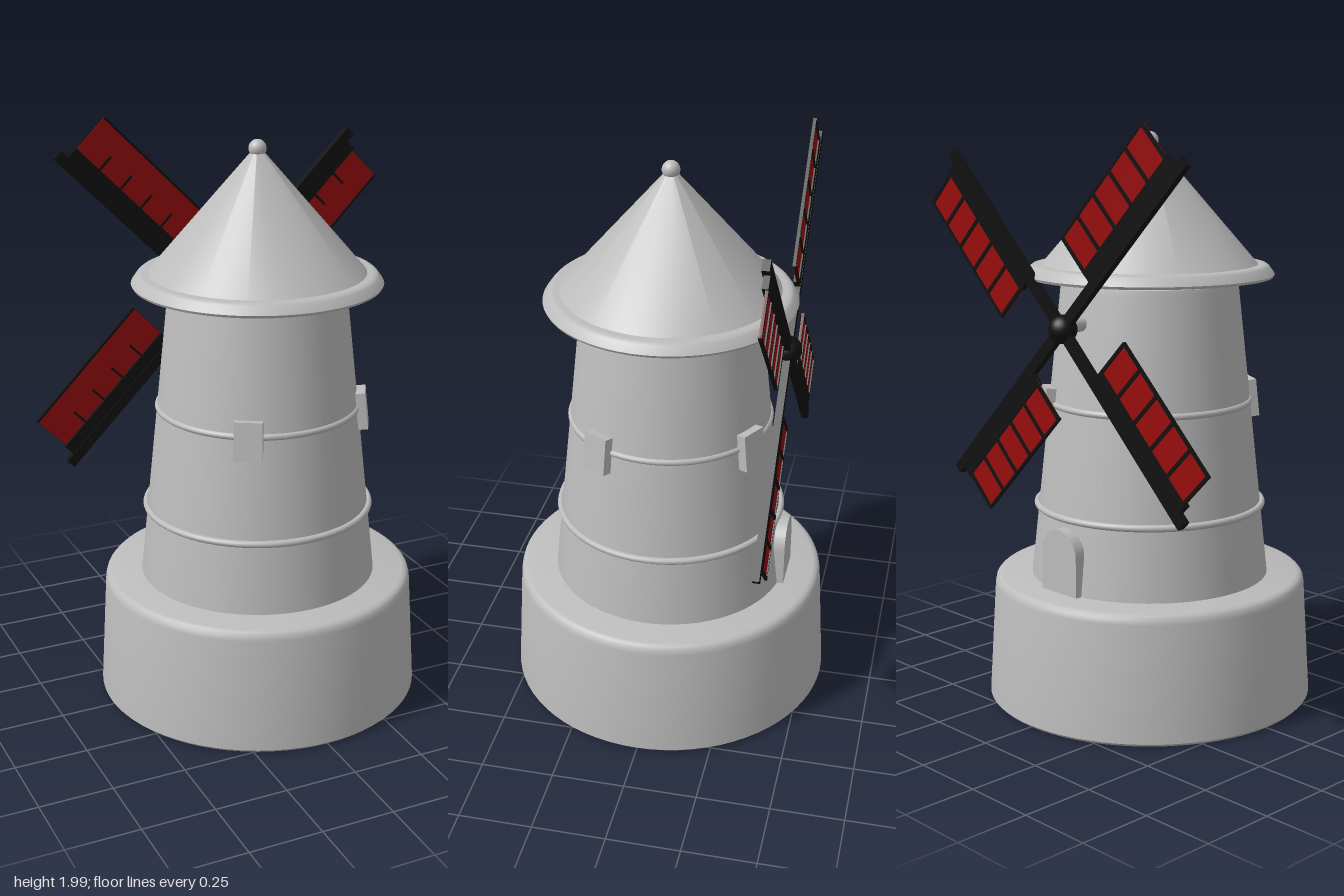
import * as THREE from 'three';
import { toCreasedNormals } from 'three/addons/utils/BufferGeometryUtils.js';

const stone = new THREE.MeshStandardMaterial({ color: 0xbcbcbc });
stone.name = 'stoneGrey';
const timber = new THREE.MeshStandardMaterial({ color: 0x111111 });
timber.name = 'blackTimber';
const cloth = new THREE.MeshStandardMaterial({ color: 0x960c0c });
cloth.name = 'redCloth';

function add(parent, name, geometry, material, x = 0, y = 0, z = 0) {
  const mesh = new THREE.Mesh(geometry, material);
  mesh.name = name;
  mesh.position.set(x, y, z);
  parent.add(mesh);
  return mesh;
}

// Round body from a bottom-to-top profile of [radius, height]
function turned(points) {
  const profile = points.map(([r, y]) => new THREE.Vector2(r, y));
  return toCreasedNormals(new THREE.LatheGeometry(profile, 72), 0.6);
}

// Box given by its extents along, across and through the blade
function slab(parent, name, material, x0, x1, y0, y1, z0, z1) {
  return add(parent, name, new THREE.BoxGeometry(x1 - x0, y1 - y0, z1 - z0), material,
    (x0 + x1) / 2, (y0 + y1) / 2, (z0 + z1) / 2);
}

// One blade, pointing along +x with the cloth on the -y side
function makeBlade() {
  const blade = new THREE.Group();
  blade.name = 'blade';
  slab(blade, 'arm', timber, 0, 0.785, -0.018, 0.018, -0.015, 0.01);
  slab(blade, 'leadingBoard', timber, 0.217, 0.75, -0.06, 0.012, -0.014, 0.006);
  slab(blade, 'sailCloth', cloth, 0.217, 0.742, -0.2, -0.04, -0.009, -0.004);
  slab(blade, 'outerRail', timber, 0.217, 0.742, -0.205, -0.197, -0.013, -0.002);
  // Cross bars: full width behind the cloth, shorter ones in front
  for (let i = 0; i <= 5; i++) {
    const x = 0.222 + i * 0.103;
    slab(blade, 'crossBar', timber, x - 0.006, x + 0.006, -0.203, -0.04, -0.014, -0.008);
    if (i > 0 && i < 5) {
      slab(blade, 'frontBar', timber, x - 0.004, x + 0.004, -0.12, -0.05, -0.006, 0);
    }
  }
  return blade;
}

export function createModel() {
  const model = new THREE.Group();
  model.name = 'windmill';

  // Broad base with a softened upper edge
  add(model, 'base', turned([
    [0, 0.005], [0.555, 0.005], [0.565, 0.015], [0.541, 0.41], [0.537, 0.428],
    [0.528, 0.438], [0.515, 0.442], [0, 0.442],
  ]), stone);

  // Tapered tower
  add(model, 'tower', turned([
    [0, 0.43], [0.413, 0.43], [0.304, 1.44], [0.3, 1.458], [0.285, 1.466], [0, 1.466],
  ]), stone);
  add(model, 'neck', new THREE.CylinderGeometry(0.28, 0.28, 0.03, 48), stone, 0, 1.47, 0);

  // Rings round the tower
  for (const [radius, y] of [[0.39, 0.69], [0.342, 1.05]]) {
    const ring = add(model, 'towerRing', new THREE.TorusGeometry(radius, 0.012, 10, 72), stone, 0, y, 0);
    ring.rotation.x = Math.PI / 2;
  }

  // Conical roof with brim and knob
  add(model, 'roofBrim', turned([
    [0, 1.475], [0.42, 1.475], [0.425, 1.484], [0.407, 1.51], [0.398, 1.517], [0.385, 1.518], [0, 1.518],
  ]), stone);
  add(model, 'roofCone', turned([[0.37, 1.515], [0.012, 1.93], [0, 1.93]]), stone);
  add(model, 'roofKnob', new THREE.SphereGeometry(0.03, 24, 16), stone, 0, 1.93, 0);

  // Windows leaning with the wall
  for (const degrees of [-30, 60, 150]) {
    const holder = new THREE.Group();
    holder.name = 'window';
    holder.rotation.y = THREE.MathUtils.degToRad(degrees);
    const pane = add(holder, 'windowBlock', new THREE.BoxGeometry(0.095, 0.13, 0.05), stone, 0, 1.042, 0.352);
    pane.rotation.x = -0.107;
    model.add(holder);
  }

  // Arched door at the back
  const arch = new THREE.Shape();
  arch.moveTo(-0.085, 0);
  arch.lineTo(0.085, 0);
  arch.lineTo(0.085, 0.135);
  arch.absarc(0, 0.135, 0.085, 0, Math.PI, false);
  arch.closePath();
  const doorGeometry = new THREE.ExtrudeGeometry(arch, { depth: 0.075, bevelEnabled: false, curveSegments: 20 });
  add(model, 'door', toCreasedNormals(doorGeometry, 0.6), stone, 0, 0.44, -0.425);

  // Axle, hub and four blades
  const axle = add(model, 'axle', new THREE.CylinderGeometry(0.025, 0.025, 0.14, 24), stone, 0, 1.34, -0.31);
  axle.rotation.x = Math.PI / 2;
  const rotor = new THREE.Group();
  rotor.name = 'rotor';
  rotor.position.set(0, 1.33, -0.396);
  add(rotor, 'hub', new THREE.SphereGeometry(0.048, 24, 16), timber);
  for (let i = 0; i < 4; i++) {
    const blade = makeBlade();
    blade.rotation.z = Math.PI / 4 + i * Math.PI / 2;
    rotor.add(blade);
  }
  model.add(rotor);
  return model;
}
